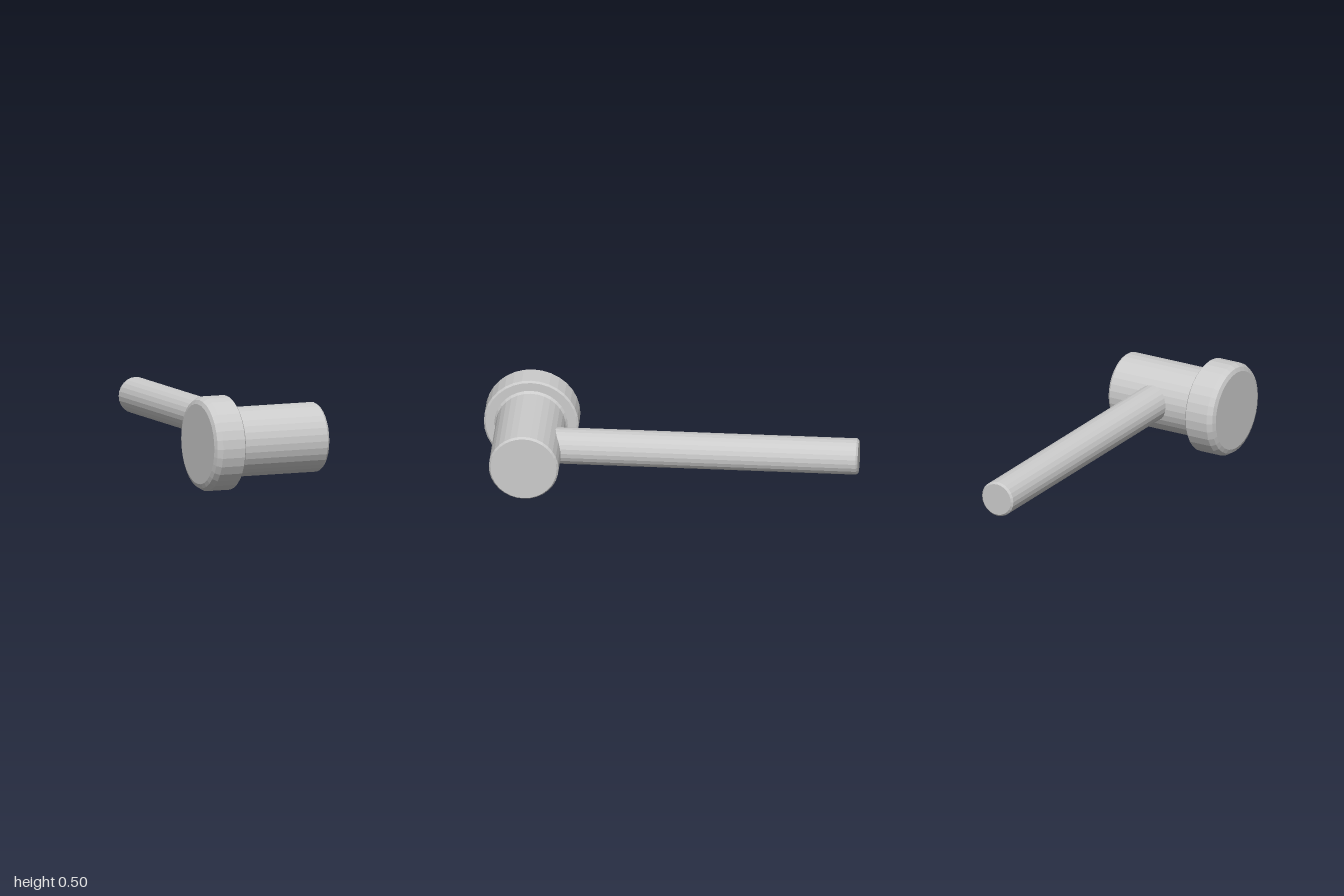
import * as THREE from 'three';

const material = new THREE.MeshStandardMaterial({ color: 0xcccccc, flatShading: true });

// Turned part: profile of [radius, position along the axis], listed from low to high
function turned(name, profile, sides) {
  const points = profile.map(([r, h]) => new THREE.Vector2(r, h));
  const mesh = new THREE.Mesh(new THREE.LatheGeometry(points, sides), material);
  mesh.name = name;
  return mesh;
}

export function createModel() {
  const model = new THREE.Group();
  model.name = 'hammer';

  // Head: wide striking face, small fillet, then the barrel, all along x
  const head = new THREE.Group();
  head.name = 'head';
  head.add(turned('strikingFace', [
    [0, -0.34], [0.212, -0.34], [0.234, -0.331], [0.25, -0.305],
    [0.25, -0.178], [0.24, -0.17], [0, -0.17],
  ], 32));
  head.add(turned('barrel', [
    [0, -0.18], [0.195, -0.172], [0.184, -0.156],
    [0.184, 0.328], [0.175, 0.34], [0, 0.34],
  ], 32));
  head.rotation.z = -Math.PI / 2;
  head.position.set(0, 0.25, 0.75);
  model.add(head);

  // Handle runs straight back from the barrel
  const handle = turned('handle', [
    [0, -1], [0.086, -1], [0.096, -0.99], [0.096, 0.65], [0, 0.65],
  ], 24);
  handle.rotation.x = Math.PI / 2;
  handle.position.set(0.082, 0.26, 0);
  model.add(handle);

  return model;
}
